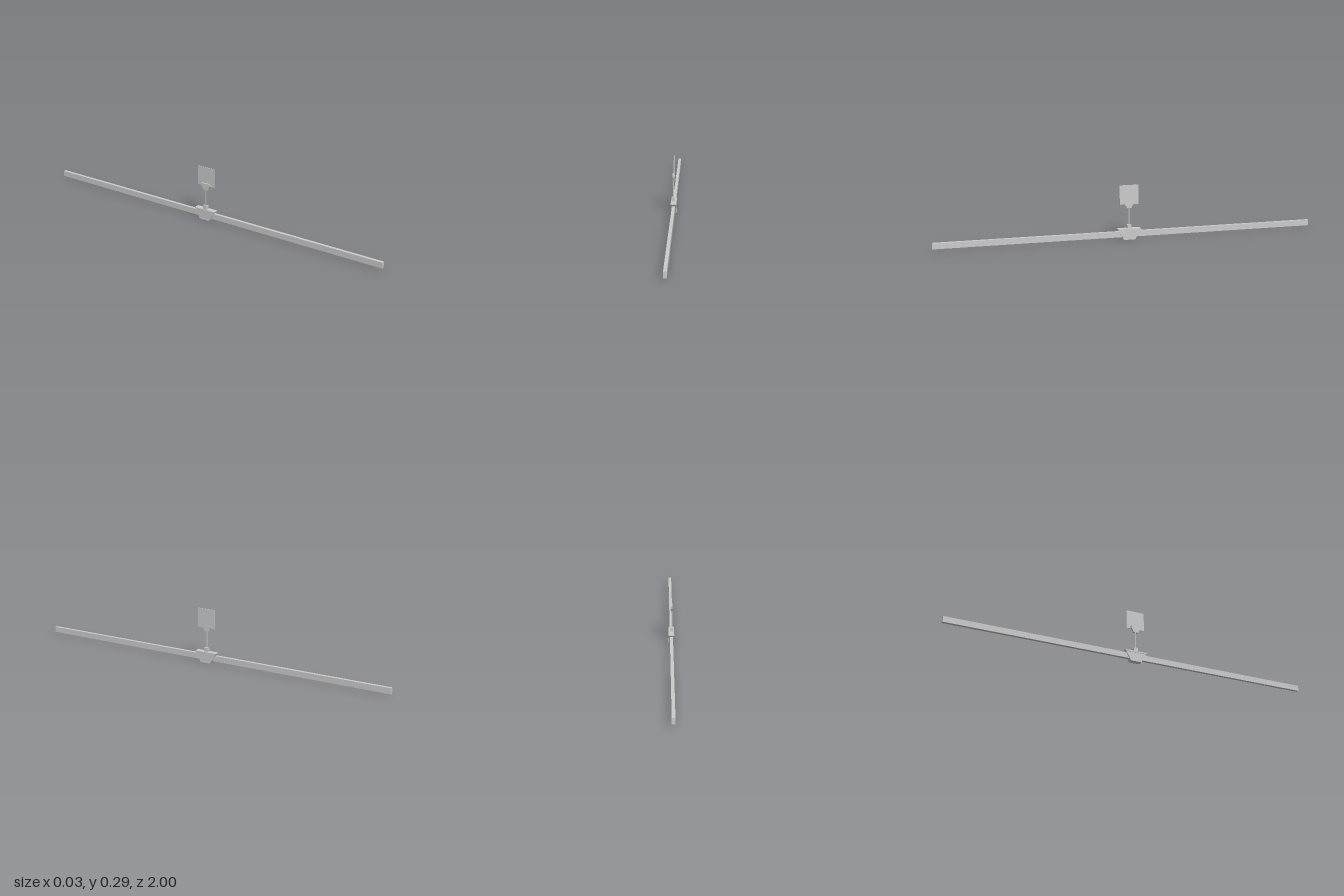
import * as THREE from 'three';

const material = new THREE.MeshStandardMaterial({ color: 0xcccccc, flatShading: true });

export function createModel() {
  const model = new THREE.Group();

  const add = (name, geometry, x, y, z) => {
    const mesh = new THREE.Mesh(geometry, material);
    mesh.name = name;
    mesh.position.set(x, y, z);
    model.add(mesh);
  };
  const box = (name, w, h, d, x, y, z = 0) => add(name, new THREE.BoxGeometry(w, h, d), x, y, z);

  // Symmetric outline in the z-y plane from [half width, height] pairs, thickened along x
  const plate = (name, profile, width, x) => {
    const right = profile.map(([z, y]) => new THREE.Vector2(z, y));
    const left = profile.map(([z, y]) => new THREE.Vector2(-z, y)).reverse();
    const geometry = new THREE.ExtrudeGeometry(new THREE.Shape([...right, ...left]), { depth: width, bevelEnabled: false });
    geometry.translate(0, 0, -width / 2);
    geometry.rotateY(Math.PI / 2);
    add(name, geometry, x, 0, 0);
  };

  // Long horizontal rail
  box('rail', 0.016, 0.03, 2, 0, 0.029);

  // Tapered clamp around the rail, with slightly wider top and bottom rims
  plate('clampBody', [[0.03, 0.002], [0.036, 0.012], [0.057, 0.05], [0.057, 0.056]], 0.025, 0);
  plate('clampTopRim', [[0.057, 0.05], [0.06, 0.053], [0.06, 0.058]], 0.029, 0);
  plate('clampBottomRim', [[0.029, 0], [0.033, 0.006]], 0.029, 0);

  // Socket and upright stem
  box('stemSocket', 0.017, 0.02, 0.022, -0.0025, 0.068);
  add('stem', new THREE.CylinderGeometry(0.0028, 0.0028, 0.11, 16), -0.0025, 0.123, 0);

  // Tapered holder behind the sign panel
  plate('panelHolder', [[0.013, 0.165], [0.016, 0.176], [0.026, 0.188], [0.026, 0.201]], 0.009, -0.0025);

  // Thin square panel with its fixing studs
  box('panel', 0.003, 0.101, 0.1, 0.0025, 0.2365);
  for (const z of [-0.016, 0, 0.016]) {
    const stud = new THREE.CylinderGeometry(0.004, 0.004, 0.003, 12);
    stud.rotateZ(Math.PI / 2);
    add('panelStud', stud, 0.0045, 0.193, z);
  }
  return model;
}
